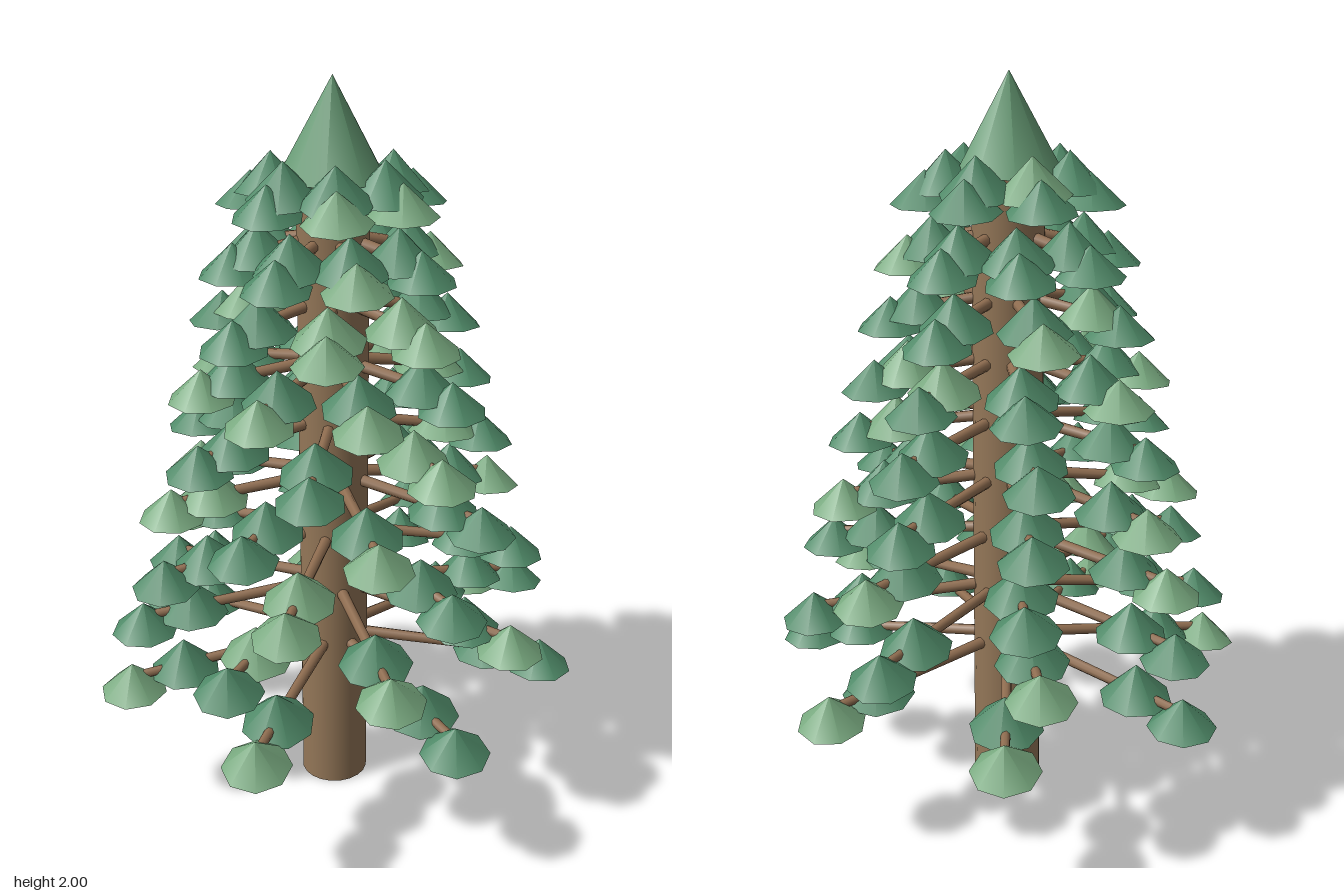
import * as THREE from 'three';

const mat = (color) => new THREE.MeshStandardMaterial({ color, side: THREE.DoubleSide });

export function createModel() {
  const tree = new THREE.Group();
  tree.name = 'pineTree';
  const bark = mat(0x947758);
  const twig = mat(0x8f6d50);
  const greens = [0x4f8a68, 0x4f8a68, 0x4f8a68, 0x78a97f].map(mat);

  let seed = 7;
  const random = () => (seed = (seed * 16807) % 2147483647) / 2147483647;

  function add(parent, name, geometry, material, x, y, z) {
    const mesh = new THREE.Mesh(geometry, material);
    mesh.name = name;
    mesh.position.set(x, y, z);
    parent.add(mesh);
    return mesh;
  }

  // Trunk, open at the foot, and pointed crown
  const axis = new THREE.Group();
  axis.name = 'treeBody';
  axis.position.set(-0.027, 0, 0.006);
  tree.add(axis);
  add(axis, 'trunk', new THREE.CylinderGeometry(0.094, 0.094, 1.78, 20, 1, true), bark, 0, 0.89, 0);
  add(axis, 'crown', new THREE.ConeGeometry(0.14, 0.25, 9, 1, true), mat(0x659a73), 0, 1.875, 0);

  // Hollow needle clusters, shared by every branch
  const tipGeometry = new THREE.ConeGeometry(0.091, 0.085, 8, 1, true);
  const midGeometry = new THREE.ConeGeometry(0.097, 0.1, 8, 1, true);
  const up = new THREE.Vector3(0, 1, 0);

  // Tiers alternate seven and eight branches, each turned further and shorter than the last
  for (let tier = 0; tier < 9; tier++) {
    const layer = new THREE.Group();
    layer.name = `branchTier${tier + 1}`;
    layer.position.y = 0.46 + tier * 0.1625;
    axis.add(layer);
    const count = tier % 2 ? 8 : 7;
    const reach = 0.583 - tier * 0.0465;

    for (let i = 0; i < count; i++) {
      const angle = tier * 0.4 + (i / count) * Math.PI * 2;
      const c = Math.cos(angle), s = Math.sin(angle);

      // Slightly drooping branch
      const start = new THREE.Vector3(c * 0.07, 0, s * 0.07);
      const end = new THREE.Vector3(c * (reach + 0.02), -0.04, s * (reach + 0.02));
      const along = end.clone().sub(start);
      const middle = start.clone().add(end).multiplyScalar(0.5);
      const branch = add(layer, 'branch', new THREE.CylinderGeometry(0.012, 0.016, along.length(), 8),
        twig, middle.x, middle.y, middle.z);
      branch.quaternion.setFromUnitVectors(up, along.normalize());

      // Two needle clusters on its outer part
      for (const [name, geometry, t, y] of [
        ['tipNeedles', tipGeometry, 1, -0.039],
        ['midNeedles', midGeometry, 0.75, 0.003],
      ]) {
        const green = greens[Math.floor(random() * greens.length)];
        const needles = add(layer, name, geometry, green, c * reach * t, y, s * reach * t);
        needles.rotation.set(s * 0.2, random() * Math.PI, 0);
      }
    }
  }
  return tree;
}
